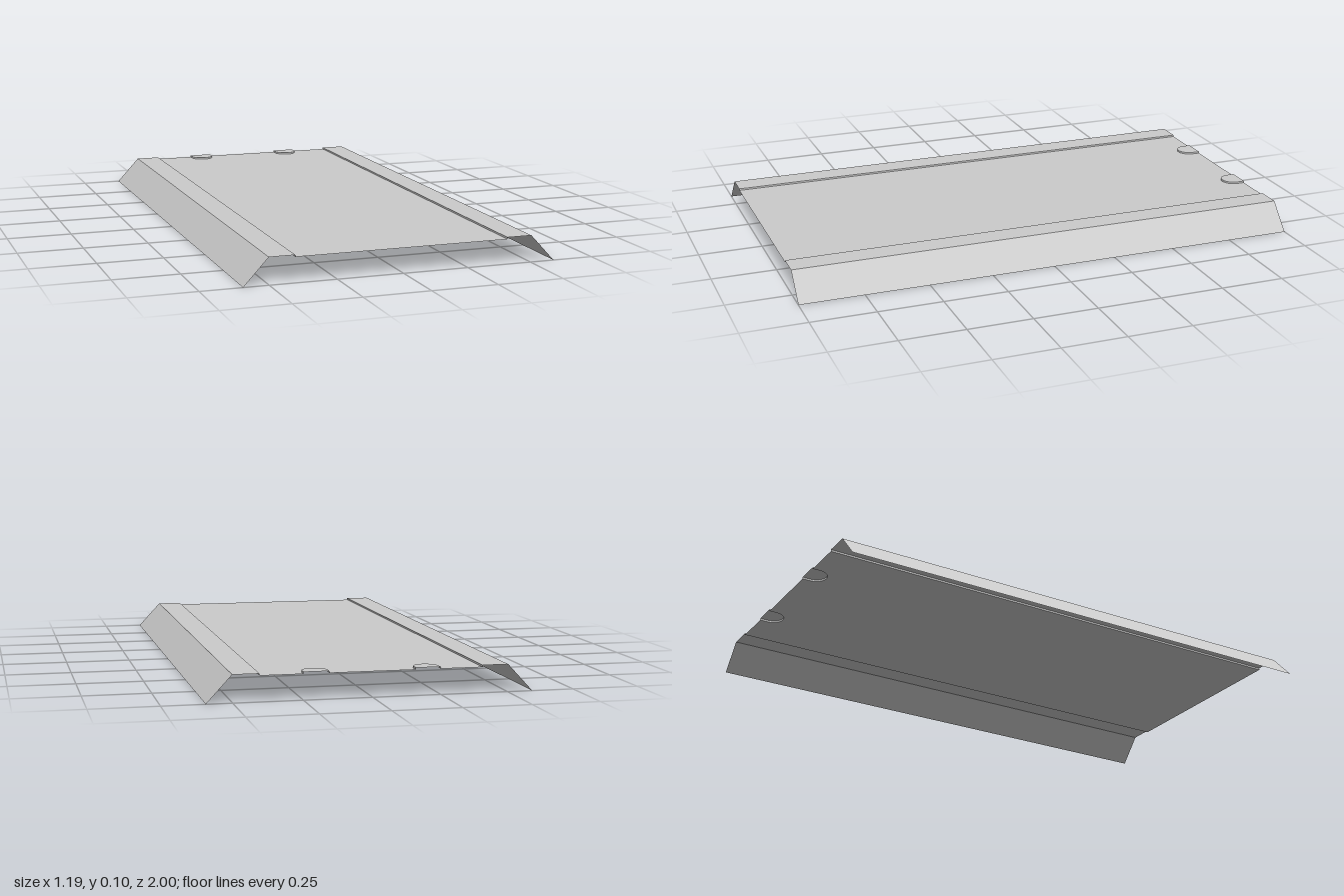
import * as THREE from 'three';

const TOP = 0.1, PAN = 0.093, HALF = 1;
const TAB_X = 0.203, TAB_R = 0.046, TAB_Z = 0.969; // tab centre, radius, arc centre
const material = new THREE.MeshStandardMaterial({
  color: 0xcccccc, side: THREE.DoubleSide, flatShading: true,
});

// Flat rectangle running the full length between two profile points
function strip(name, [x0, y0], [x1, y1]) {
  const geo = new THREE.PlaneGeometry(Math.hypot(x1 - x0, y1 - y0), 2 * HALF);
  geo.rotateX(-Math.PI / 2);
  geo.rotateZ(Math.atan2(y1 - y0, x1 - x0));
  geo.translate((x0 + x1) / 2, (y0 + y1) / 2, 0);
  const mesh = new THREE.Mesh(geo, material);
  mesh.name = name;
  return mesh;
}

// Horizontal sheet from a shape whose +y points to the back
function sheet(name, shape, y) {
  const geo = new THREE.ShapeGeometry(shape, 16).rotateX(-Math.PI / 2).translate(0, y, 0);
  const mesh = new THREE.Mesh(geo, material);
  mesh.name = name;
  return mesh;
}

// U-shaped tab outline, open at the back edge, from right to left
function tabOutline(cx) {
  const pts = [new THREE.Vector2(cx + TAB_R, HALF)];
  for (let i = 0; i <= 16; i++) {
    const a = -Math.PI * i / 16;
    pts.push(new THREE.Vector2(cx + TAB_R * Math.cos(a), TAB_Z + TAB_R * Math.sin(a)));
  }
  pts.push(new THREE.Vector2(cx - TAB_R, HALF));
  return pts;
}

// Upright wall joining the pan to the raised tab
function tabWall(outline) {
  const pos = [], index = [];
  outline.forEach((p, i) => {
    pos.push(p.x, PAN, -p.y, p.x, TOP, -p.y);
    if (i) {
      const k = 2 * i;
      index.push(k - 2, k - 1, k, k, k - 1, k + 1);
    }
  });
  const geo = new THREE.BufferGeometry();
  geo.setAttribute('position', new THREE.Float32BufferAttribute(pos, 3));
  geo.setIndex(index);
  geo.computeVertexNormals();
  const mesh = new THREE.Mesh(geo, material);
  mesh.name = 'tabWall';
  return mesh;
}

export function createModel() {
  const model = new THREE.Group();
  model.name = 'foldedPanel';

  // Profile: sloped flange, raised rail, small step, sunken pan, mirrored
  const half = [[0.594, 0], [0.501, TOP], [0.405, TOP], [0.405, PAN]];
  const names = ['Flange', 'Rail', 'Step'];
  for (const [side, s] of [['left', 1], ['right', -1]]) {
    names.forEach((n, i) => {
      const ends = [half[i], half[i + 1]].map(([x, y]) => [s * x, y]);
      if (s > 0) ends.reverse(); // keeps the upper face outward
      model.add(strip(side + n, ...ends));
    });
  }

  // Centre pan, notched where the tabs are pressed up
  const w = 0.405;
  const outline = [new THREE.Vector2(-w, -HALF), new THREE.Vector2(w, -HALF),
    new THREE.Vector2(w, HALF), ...tabOutline(TAB_X), ...tabOutline(-TAB_X),
    new THREE.Vector2(-w, HALF)];
  model.add(sheet('centrePan', new THREE.Shape(outline), PAN));

  // Pressed tabs at the back edge
  for (const [side, s] of [['left', 1], ['right', -1]]) {
    const tab = new THREE.Group();
    tab.name = side + 'Tab';
    const pts = tabOutline(s * TAB_X);
    tab.add(sheet('tabTop', new THREE.Shape(pts), TOP), tabWall(pts));
    model.add(tab);
  }
  return model;
}
